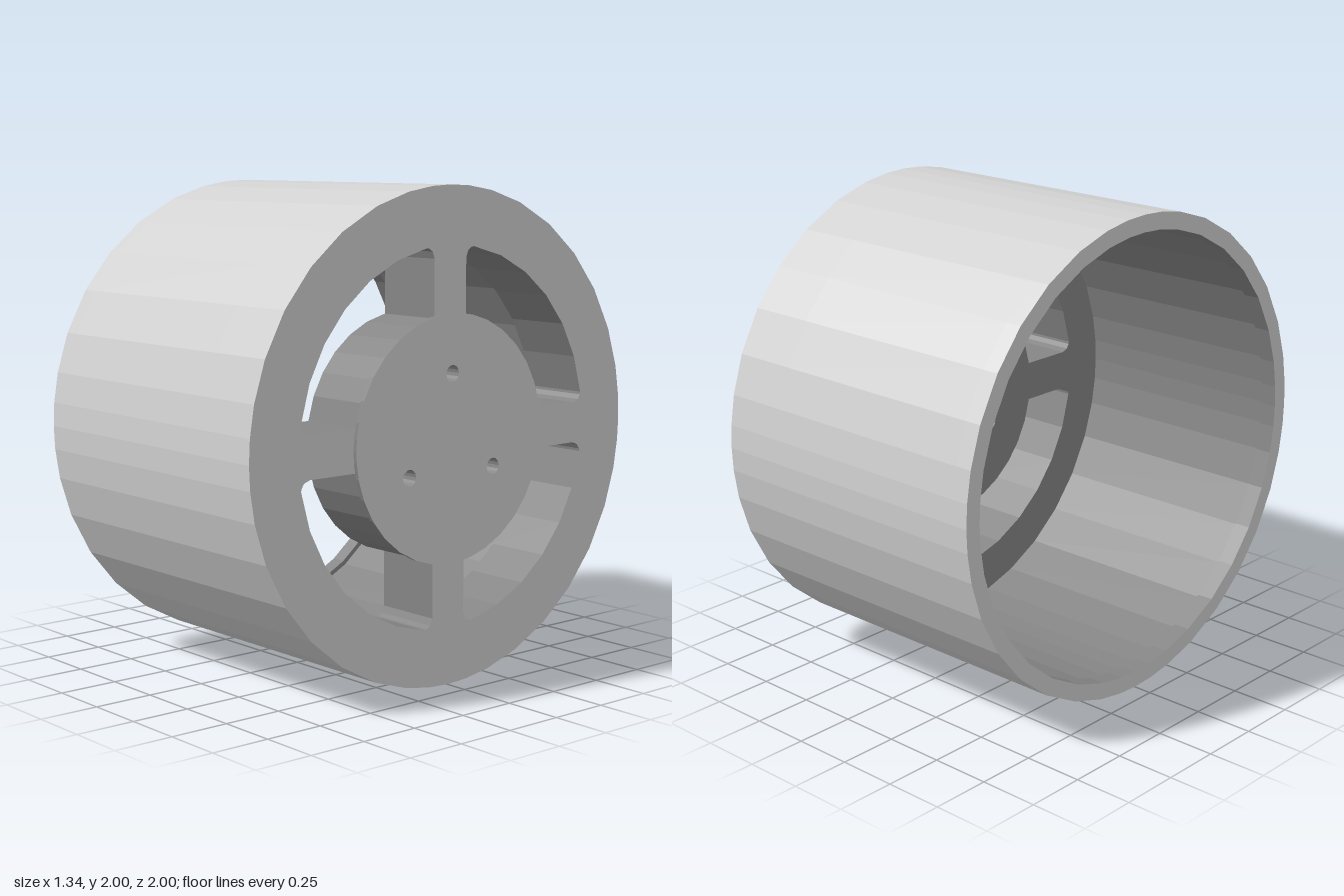
import * as THREE from 'three';

const OPEN_END = -0.67, LIP_END = -0.6, FACE_BACK = 0.36, FACE_FRONT = 0.65, HUB_FRONT = 0.667;

// Points of a circular arc, ends included
function arc(r, from, to, n, cx = 0, cy = 0) {
  return Array.from({ length: n + 1 }, (_, i) => {
    const a = from + ((to - from) * i) / n;
    return new THREE.Vector2(cx + r * Math.cos(a), cy + r * Math.sin(a));
  });
}

// Large circle, with finer steps near the four axis points
const QUARTER = [0, 5.6, 12.8, 22.5, 33.75, 45, 56.25, 67.5, 77.2, 84.4];
function circle(r) {
  return [0, 90, 180, 270].flatMap((base) => QUARTER.map((deg) => {
    const a = THREE.MathUtils.degToRad(base + deg);
    return new THREE.Vector2(r * Math.cos(a), r * Math.sin(a));
  }));
}

// Plate along x; materials for its back, front, outer edge and hole walls
function plate(name, outline, holes, x0, x1, materials) {
  const shape = new THREE.Shape(outline);
  shape.holes = holes.map((p) => new THREE.Path(p));
  const geo = new THREE.ExtrudeGeometry(shape, { depth: x1 - x0, bevelEnabled: false });
  const [caps, sides] = geo.groups;
  const half = caps.count / 2, edge = outline.length * 6;
  geo.clearGroups();
  geo.addGroup(0, half, 0);
  geo.addGroup(half, half, 1);
  geo.addGroup(sides.start, edge, 2);
  geo.addGroup(sides.start + edge, sides.count - edge, 3);
  geo.rotateY(Math.PI / 2).translate(x0, 1, 0);
  const mesh = new THREE.Mesh(geo, materials);
  mesh.name = name;
  return mesh;
}

// Quarter opening between two spokes, with rounded outer corners
function opening(quarter) {
  const w = 0.085, hubR = 0.49, outerR = 0.767;
  const corner = [[0.715, w], [0.743, 0.096], [0.755, 0.115]];
  const start = Math.asin(w / hubR), outerStart = 0.165;
  const points = [
    ...corner.map(([x, y]) => new THREE.Vector2(x, y)),
    ...arc(outerR, outerStart, Math.PI / 2 - outerStart, 6),
    ...corner.map(([x, y]) => new THREE.Vector2(y, x)).reverse(),
    ...arc(hubR, Math.PI / 2 - start, start, 6),
  ];
  return points.map((p) => p.rotateAround(new THREE.Vector2(), (quarter * Math.PI) / 2));
}

export function createModel() {
  const model = new THREE.Group();
  model.name = 'wheel';
  const light = new THREE.MeshStandardMaterial({ color: 0xd2d2d2 });
  light.name = 'light grey';
  const dark = new THREE.MeshStandardMaterial({ color: 0x868686 });
  dark.name = 'dark grey';

  // Three bolt holes, one at the top
  const boltHoles = [0, 1, 2].map((i) => {
    const a = Math.PI / 2 + (i * Math.PI * 2) / 3;
    return arc(0.034, 0, Math.PI * 2, 16, 0.262 * Math.cos(a), 0.262 * Math.sin(a)).slice(0, 16);
  });
  const openings = [0, 1, 2, 3].map(opening);

  model.add(
    // Hollow drum with a narrower lip at the open end
    plate('lip', circle(1), [circle(0.93)], OPEN_END, LIP_END, [light, dark, light, dark]),
    plate('barrel', circle(1), [circle(0.95)], LIP_END, FACE_BACK, [dark, dark, light, dark]),
    // Spoked face and raised hub disc
    plate('spokedFace', circle(1), [...openings, ...boltHoles], FACE_BACK, FACE_FRONT,
      [dark, light, light, dark]),
    plate('hubDisc', circle(0.5), boltHoles, FACE_FRONT, HUB_FRONT, [dark, light, dark, dark]),
  );
  return model;
}
